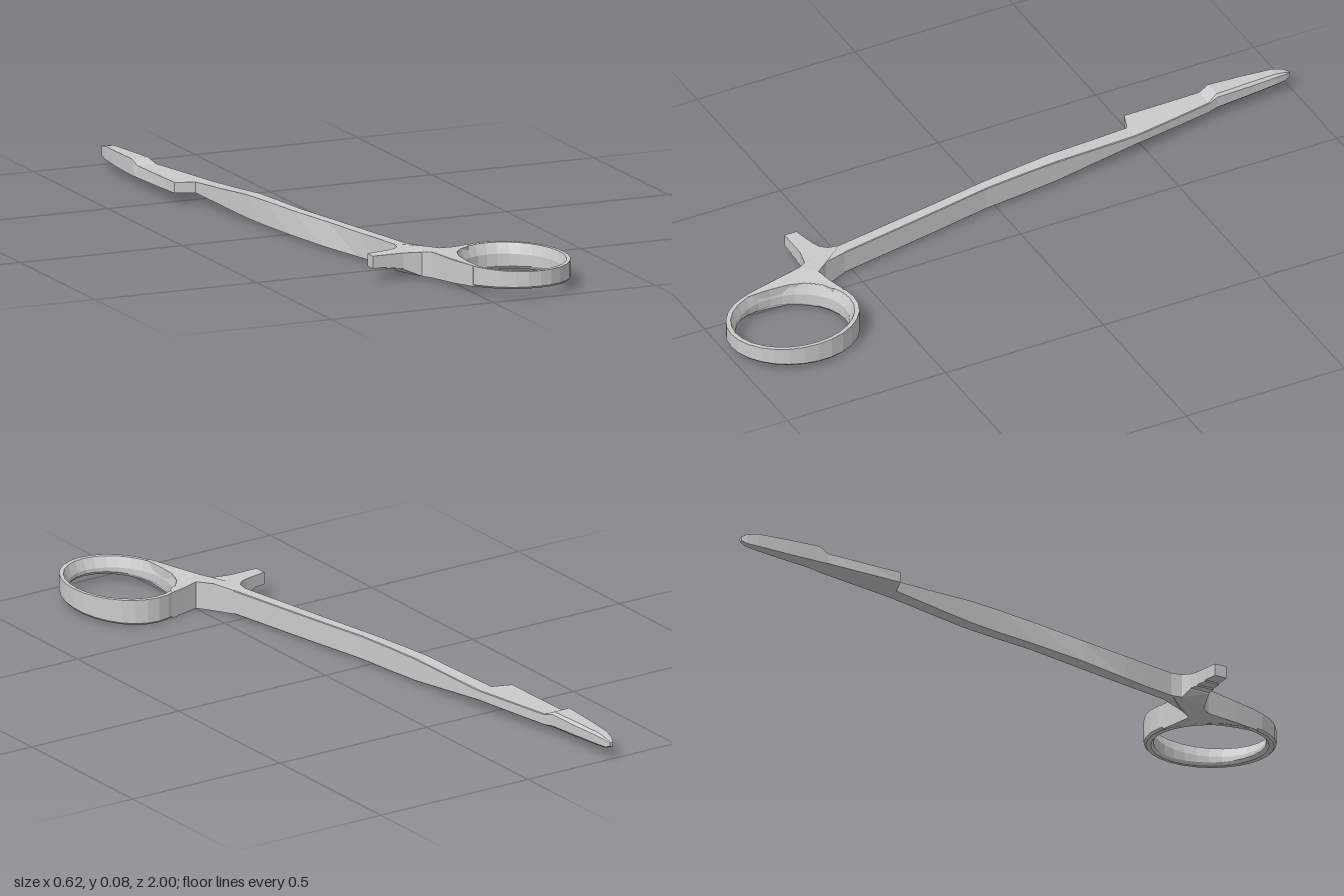
import * as THREE from 'three';

const steel = new THREE.MeshStandardMaterial({ color: 0xcccccc, flatShading: true });

// Skins a row of equal-sized [x, y, z] cross-sections; loops round or gets end caps
function loft(name, sections, loop = false) {
  const n = sections[0].length, m = sections.length, tris = [];
  for (let i = 0; i < (loop ? m : m - 1); i++) {
    const a = sections[i], b = sections[(i + 1) % m];
    for (let j = 0; j < n; j++) {
      const k = (j + 1) % n;
      tris.push([a[j], b[j], b[k]], [a[j], b[k], a[k]]);
    }
  }
  if (!loop) {
    const a = sections[0], b = sections[m - 1];
    for (let j = 1; j < n - 1; j++) tris.push([a[0], a[j], a[j + 1]], [b[0], b[j + 1], b[j]]);
  }
  // Turn every face outward if the enclosed volume comes out negative
  let volume = 0;
  const p = new THREE.Vector3(), q = new THREE.Vector3(), r = new THREE.Vector3();
  for (const t of tris) volume += p.fromArray(t[0]).dot(q.fromArray(t[1]).cross(r.fromArray(t[2])));
  if (volume < 0) tris.forEach((t) => t.reverse());
  const geo = new THREE.BufferGeometry();
  geo.setAttribute('position', new THREE.Float32BufferAttribute(tris.flat(2), 3));
  geo.computeVertexNormals();
  const mesh = new THREE.Mesh(geo, steel);
  mesh.name = name;
  return mesh;
}

// Cross-section of the shank or jaw: lean widens the foot on the left, c bevels the right edges
const bar = ([z, xl, xr, yb, yt, lean = 0, c = 0.002]) => [
  [xl - lean, yb, z], [xr - c, yb, z], [xr, yb + c, z],
  [xr, yt - c, z], [xr - c, yt, z], [xl, yt, z],
];

// Underside of the finger ring, rising toward its far end
const ringBottom = (z) => 0.004 + 0.026 * THREE.MathUtils.clamp((z - 0.62) / 0.37, 0, 1);

export function createModel() {
  const model = new THREE.Group();

  // Gripping jaw with its raised tip and the step into the shank
  model.add(loft('jaw', [
    [-1.0, -0.290, -0.280, 0.042, 0.054],
    [-0.985, -0.296, -0.274, 0.034, 0.062, 0, 0.004],
    [-0.95, -0.302, -0.268, 0.031, 0.069, 0, 0.007],
    [-0.86, -0.307, -0.260, 0.028, 0.072, 0, 0.008],
    [-0.755, -0.310, -0.252, 0.027, 0.075, 0, 0.007],
    [-0.725, -0.306, -0.246, 0.028, 0.061, 0.004],
    [-0.60, -0.303, -0.222, 0.030, 0.062, 0.003],
    [-0.485, -0.301, -0.201, 0.032, 0.063],
    [-0.465, -0.245, -0.198, 0.032, 0.063],
  ].map(bar)));

  // Long shank, deepening toward the handle
  model.add(loft('shank', [
    [-0.465, -0.245, -0.198, 0.032, 0.063],
    [-0.33, -0.227, -0.183, 0.022, 0.071],
    [-0.20, -0.210, -0.168, 0.013, 0.080],
    [-0.10, -0.196, -0.158, 0.011, 0.081, 0.002],
    [0.03, -0.177, -0.144, 0.011, 0.081, 0.006],
    [0.20, -0.146, -0.112, 0.011, 0.081, 0.011],
    [0.36, -0.119, -0.083, 0.011, 0.081, 0.003],
    [0.44, -0.105, -0.069, 0.011, 0.081],
    [0.53, -0.090, -0.053, 0.011, 0.081],
  ].map(bar)));

  // Blended joint between shank, ratchet arm and finger ring
  const outline = [
    [-0.09, 0.53], [-0.096, 0.56], [-0.112, 0.578], [-0.112, 0.64], [-0.06, 0.652],
    [-0.042, 0.68], [-0.022, 0.78], [0.0, 0.865], [0.012, 0.87], [0.010, 0.80],
    [0.014, 0.74], [0.03, 0.69], [0.055, 0.66], [0.085, 0.643], [0.10, 0.615],
    [0.05, 0.628], [0.0, 0.64], [-0.03, 0.60], [-0.053, 0.53],
  ];
  const jointGeo = new THREE.ExtrudeGeometry(
    new THREE.Shape(outline.map(([x, z]) => new THREE.Vector2(x, -z))),
    { depth: 1, bevelEnabled: false });
  jointGeo.rotateX(-Math.PI / 2);
  const pos = jointGeo.attributes.position;
  for (let i = 0; i < pos.count; i++) {
    const x = pos.getX(i), z = pos.getZ(i);
    const low = x < -0.1 ? 0.034 : x > -0.03 ? ringBottom(z) : 0.011;
    const high = x > -0.05 && x < 0.005 && z > 0.59 && z < 0.7 ? 0.085 : 0.081;
    pos.setY(i, pos.getY(i) > 0.5 ? high : low);
  }
  jointGeo.computeVertexNormals();
  const joint = new THREE.Mesh(jointGeo, steel);
  joint.name = 'handleJoint';
  model.add(joint);

  // Ratchet arm, stepped with teeth underneath
  model.add(loft('ratchetArm', [
    [-0.206, 0.602, 0.045], [-0.165, 0.594, 0.045], [-0.164, 0.594, 0.041],
    [-0.136, 0.587, 0.041], [-0.135, 0.587, 0.037], [-0.112, 0.578, 0.037],
    [-0.095, 0.565, 0.032], [-0.065, 0.56, 0.013],
  ].map(([x, z, yb]) => [[x, yb, z], [x, yb, 0.64], [x, 0.081, 0.64], [x, 0.081, z]])));

  // Finger ring: thin upper rim, inner wall swelling toward its sloping underside
  const ring = [], steps = 28;
  for (let i = 0; i < steps; i++) {
    const a = (i / steps) * Math.PI * 2, s = Math.sin(a), c = Math.cos(a);
    const at = (rx, rz, y) => [0.149 + rx * c, y, 0.80 + rz * s];
    const yb = ringBottom(0.80 + 0.19 * s);
    ring.push([
      at(0.158, 0.195, 0.080), at(0.158, 0.195, yb + 0.006), at(0.153, 0.189, yb),
      at(0.143, 0.174, yb), at(0.138, 0.166, yb + 0.009), at(0.138, 0.166, 0.05),
      at(0.147, 0.181, 0.080),
    ]);
  }
  model.add(loft('fingerRing', ring, true));

  return model;
}
